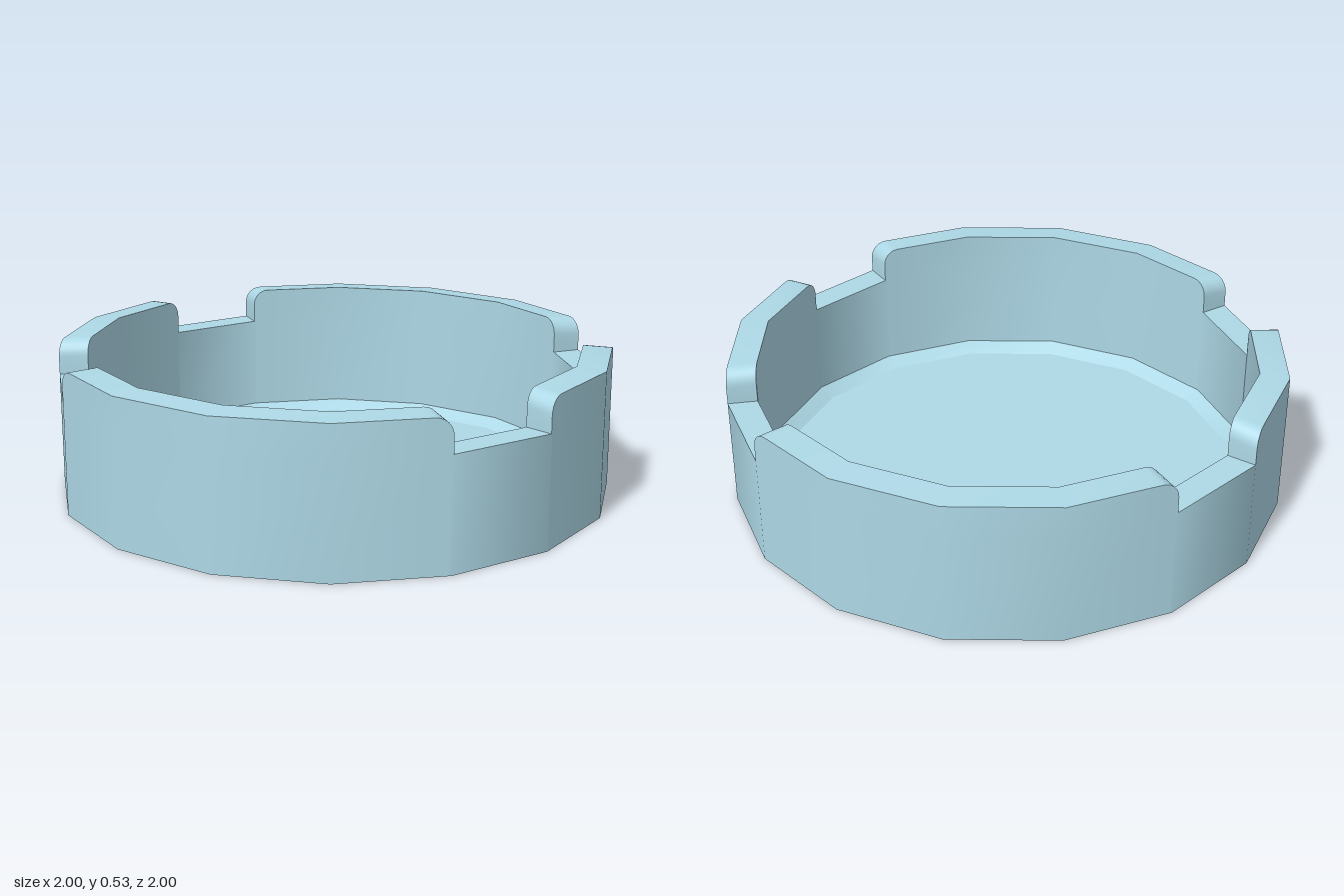
import * as THREE from 'three';
import { toCreasedNormals } from 'three/addons/utils/BufferGeometryUtils.js';

const SIDES = 16;
const INNER = 0.895;      // inner wall radius
const FLOOR_R = 0.843;    // floor radius inside the chamfer
const FLOOR_Y = 0.025;
const CHAMFER_Y = 0.057;
const NOTCH_Y = 0.405;
const RIM_Y = 0.526;
const ROUND = 0.06;       // rounding of the rim beside each notch
const ARC_STEPS = 6;

// Point on the unit polygon; s counts corners, fractions lie on the straight side
function onPolygon(s) {
  const k = Math.floor(s + 1e-9), f = Math.max(0, s - k);
  const corner = i => new THREE.Vector2(
    Math.cos(i * 2 * Math.PI / SIDES), Math.sin(i * 2 * Math.PI / SIDES));
  return corner(k).lerp(corner(k + 1), f);
}

// Stations round the bowl: position and rim height, with notches between segments
function makeStations() {
  const stations = [];
  const side = 2 * Math.sin(Math.PI / SIDES);
  const arc = i => {
    const a = i / ARC_STEPS * Math.PI / 2;
    return [ROUND * (1 - Math.cos(a)) / side, RIM_Y - ROUND + ROUND * Math.sin(a)];
  };
  for (const [from, to] of [[-1, 1], [2, 6], [7, 9], [10, 14]]) {
    stations.push([from, NOTCH_Y]);
    for (let i = 0; i <= ARC_STEPS; i++) {
      const [d, y] = arc(i);
      stations.push([from + d, y]);
    }
    for (let k = from + 1; k < to; k++) stations.push([k, RIM_Y]);
    for (let i = ARC_STEPS; i >= 0; i--) {
      const [d, y] = arc(i);
      stations.push([to - d, y]);
    }
    stations.push([to, NOTCH_Y]);
  }
  stations.push([15, NOTCH_Y]);
  return stations;
}

// Cross-section from the underside centre, over the rim, to the floor centre
function section([s, top]) {
  const p = onPolygon(s);
  const innerTop = top > NOTCH_Y ? top + 0.007 : top;
  return [
    [0, 0], [1, 0], [1, NOTCH_Y], [1, top], [INNER, innerTop], [INNER, NOTCH_Y],
    [INNER, CHAMFER_Y], [FLOOR_R, FLOOR_Y], [0, FLOOR_Y],
  ].map(([r, y]) => new THREE.Vector3(p.x * r, y, p.y * r));
}

function bowlGeometry() {
  const sections = makeStations().map(section);
  const positions = [];
  const addTriangle = (a, b, c) => {
    const area = b.clone().sub(a).cross(c.clone().sub(a)).length();
    if (area > 1e-7) positions.push(...a, ...b, ...c);
  };
  for (let i = 0; i < sections.length - 1; i++) {
    const p = sections[i], q = sections[i + 1];
    for (let j = 0; j < p.length - 1; j++) {
      addTriangle(p[j], p[j + 1], q[j]);
      addTriangle(p[j + 1], q[j + 1], q[j]);
    }
  }
  const geometry = new THREE.BufferGeometry();
  geometry.setAttribute('position', new THREE.Float32BufferAttribute(positions, 3));
  return toCreasedNormals(geometry, 0.45);
}

export function createModel() {
  const group = new THREE.Group();
  group.name = 'notchedDish';
  const bowl = new THREE.Mesh(
    bowlGeometry(), new THREE.MeshStandardMaterial({ color: 0xadd8e6 }));
  bowl.name = 'bowl';
  group.add(bowl);
  return group;
}
